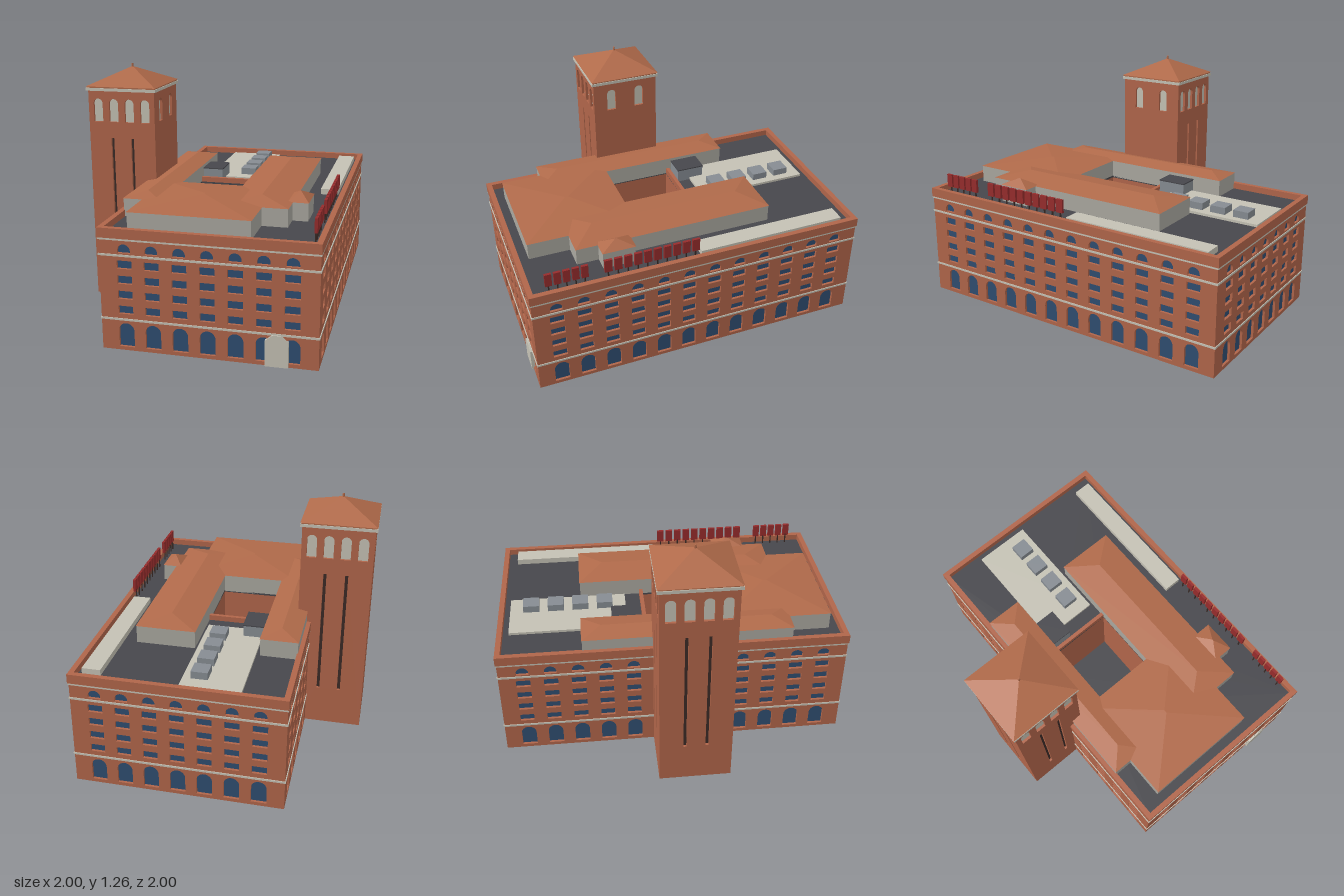
import * as THREE from 'three';

const mat = (color) => new THREE.MeshStandardMaterial({ color, flatShading: true });
const BRICK = mat(0xb0654a), TILE = mat(0xb06a4a), STONE = mat(0xc4c1b4), DECK = mat(0x47474c);
const GLASS = mat(0x2f4d70), GREY = mat(0xa9a79f), UNIT = mat(0x868c92), RED = mat(0x962c2c), DARK = mat(0x3a2a26);

const HX = 0.886, HZ = 0.519;   // half sizes of the main block
const DECK_Y = 0.572, TOP = 0.605, RECESS = 0.014;
const COURT = [-0.245, 0.12, -0.315, 0.015];   // x0, x1, z0, z1

function add(parent, name, geo, material, x = 0, y = 0, z = 0) {
  const m = new THREE.Mesh(geo, material);
  m.name = name;
  m.position.set(x, y, z);
  parent.add(m);
  return m;
}

// box given by its limits
function block(parent, name, material, x0, x1, y0, y1, z0, z1) {
  return add(parent, name, new THREE.BoxGeometry(x1 - x0, y1 - y0, z1 - z0), material,
    (x0 + x1) / 2, (y0 + y1) / 2, (z0 + z1) / 2);
}

const rect = (C, x0, x1, y0, y1) => {
  const p = new C();
  p.moveTo(x0, y0); p.lineTo(x1, y0); p.lineTo(x1, y1); p.lineTo(x0, y1); p.closePath();
  return p;
};

const arch = (x, w, y0, y1) => {
  const p = new THREE.Path(), r = w / 2;
  p.moveTo(x - r, y0); p.lineTo(x + r, y0); p.lineTo(x + r, y1 - r);
  p.absarc(x, y1 - r, r, 0, Math.PI, false);
  p.closePath();
  return p;
};

// horizontal slab with a rectangular opening
function ring(parent, name, material, outer, inner, y0, y1) {
  const flip = ([x0, x1, z0, z1]) => [x0, x1, -z1, -z0];
  const s = rect(THREE.Shape, ...flip(outer));
  s.holes.push(rect(THREE.Path, ...flip(inner)));
  const g = new THREE.ExtrudeGeometry(s, { depth: y1 - y0, bevelEnabled: false });
  g.rotateX(-Math.PI / 2);
  return add(parent, name, g, material, 0, y0, 0);
}

const frame = (parent, name, material, hx, hz, t, y0, y1) =>
  ring(parent, name, material, [-hx, hx, -hz, hz], [-hx + t, hx - t, -hz + t, hz - t], y0, y1);

// wall with pierced openings; panes are [material, y0, y1] sheets set behind it
function wall(parent, name, width, height, holes, panes, dist, angle) {
  const g = new THREE.Group();
  g.name = name;
  g.rotation.y = angle;
  const s = rect(THREE.Shape, -width / 2, width / 2, 0, height);
  s.holes.push(...holes);
  const geo = new THREE.ExtrudeGeometry(s, { depth: RECESS, bevelEnabled: false, curveSegments: 8 });
  add(g, 'brickFace', geo, BRICK, 0, 0, dist - RECESS);
  for (const [m, y0, y1] of panes)
    add(g, 'panes', new THREE.PlaneGeometry(width - 0.03, y1 - y0), m, 0, (y0 + y1) / 2, dist - RECESS + 0.001);
  parent.add(g);
}

// hipped roof over a rectangle, ridge along x
function hip(parent, name, x0, x1, z0, z1, y0, y1, inset) {
  const zc = (z0 + z1) / 2;
  const A = [x0, y0, z1], B = [x1, y0, z1], C = [x1, y0, z0], D = [x0, y0, z0];
  const P = [x0 + inset, y1, zc], Q = [x1 - inset, y1, zc];
  const tris = [A, B, Q, A, Q, P, B, C, Q, C, D, P, C, P, Q, D, A, P, A, D, C, A, C, B];
  const g = new THREE.BufferGeometry();
  g.setAttribute('position', new THREE.Float32BufferAttribute(tris.flat(), 3));
  g.computeVertexNormals();
  add(parent, name, g, TILE);
}

// one bay of windows for each column
function bays(count, step) {
  const holes = [];
  for (let i = 0; i < count; i++) {
    const x = (i - (count - 1) / 2) * step;
    holes.push(arch(x, 0.076, 0.018, 0.138));
    for (let k = 0; k < 4; k++) holes.push(rect(THREE.Path, x - 0.036, x + 0.036, 0.185 + k * 0.075, 0.225 + k * 0.075));
    holes.push(arch(x, 0.062, 0.487, 0.53));
  }
  return holes;
}

function mainBlock(b) {
  const c = HX - RECESS, d = HZ - RECESS;
  ring(b, 'blockCore', BRICK, [-c, c, -d, d], COURT, 0, DECK_Y - 0.01);
  ring(b, 'roofDeck', DECK, [-c, c, -d, d], COURT, DECK_Y - 0.01, DECK_Y);
  block(b, 'courtyardFloor', DECK, COURT[0], COURT[1], 0.11, 0.15, COURT[2], COURT[3]);
  for (let i = 0; i < 4; i++) {
    const long = i % 2 === 0;
    wall(b, long ? 'longWall' : 'endWall', 2 * (long ? HX : HZ), 0.58,
      long ? bays(12, 0.139) : bays(7, 0.132), [[GLASS, 0.01, 0.55]], long ? HZ : HX, i * Math.PI / 2);
  }
  // string courses and parapet
  for (const [y, h] of [[0.152, 0.01], [0.47, 0.01], [0.548, 0.009]])
    frame(b, 'stringCourse', STONE, HX + 0.004, HZ + 0.004, 0.012, y, y + h);
  frame(b, 'parapet', BRICK, HX + 0.005, HZ + 0.005, 0.027, 0.557, TOP);
  // entrance surround with a pointed top on the end wall
  const s = new THREE.Shape();
  s.moveTo(-0.055, 0); s.lineTo(0.055, 0); s.lineTo(0.055, 0.125);
  s.lineTo(0.02, 0.155); s.lineTo(-0.02, 0.155); s.lineTo(-0.055, 0.125);
  const door = add(b, 'entrance', new THREE.ExtrudeGeometry(s, { depth: 0.02, bevelEnabled: false }), STONE, -HX + 0.01, 0, 0.325);
  door.rotation.y = -Math.PI / 2;
}

function roofscape(b) {
  // penthouse wings: x0, x1, z0, z1, ridge height, hip inset
  const wings = [
    ['frontWing', -0.6, 0.46, 0.015, 0.318, 0.692, 0.13],
    ['backWing', -0.6, 0.46, -0.502, -0.315, 0.685, 0.1],
    ['endWing', -0.815, -0.245, -0.403, 0.19, 0.694, 0.28],
    ['dormer', -0.485, -0.315, 0.295, 0.396, 0.702, 0.085],
  ];
  for (const [name, x0, x1, z0, z1, top, inset] of wings) {
    block(b, name + 'Walls', GREY, x0, x1, DECK_Y - 0.005, 0.664, z0, z1);
    hip(b, name + 'Roof', x0 - 0.003, x1 + 0.003, z0 - 0.003, z1 + 0.003, 0.664, top, inset);
  }
  // plant area
  block(b, 'courtyardParapet', BRICK, 0.12, 0.14, DECK_Y - 0.01, 0.6, -0.315, 0.015);
  block(b, 'plantPad', STONE, 0.22, 0.834, DECK_Y - 0.005, 0.585, -0.297, 0);
  for (let i = 0; i < 4; i++) {
    const x = 0.332 + i * 0.13;
    block(b, 'plantUnit', UNIT, x - 0.042, x + 0.042, 0.58, 0.622, -0.123, -0.04);
  }
  block(b, 'stairHouse', UNIT, 0.15, 0.3, DECK_Y - 0.005, 0.642, -0.31, -0.2);
  block(b, 'stairHouseRoof', DECK, 0.148, 0.302, 0.642, 0.648, -0.312, -0.198);
  block(b, 'skylight', STONE, 0.01, 0.815, DECK_Y - 0.005, 0.602, 0.385, 0.478);
  // two rows of plain red roof panels on thin posts
  for (const [start, end, n] of [[-0.806, -0.58, 5], [-0.51, 0, 10]]) {
    const step = (end - start) / n;
    for (let i = 0; i < n; i++) {
      const x = start + (i + 0.5) * step;
      block(b, 'roofPanel', RED, x - step * 0.38, x + step * 0.38, 0.622, 0.692, 0.474, 0.488);
      block(b, 'panelPost', DARK, x - 0.003, x + 0.003, DECK_Y, 0.63, 0.474, 0.48);
    }
  }
}

function tower(b) {
  const t = new THREE.Group();
  t.name = 'tower';
  t.position.set(-0.071, 0, -0.636);
  b.add(t);
  const h = 0.1815, H = 1.135, c = h - RECESS;
  block(t, 'towerCore', BRICK, -c, c, 0, H, -c, c);
  for (let i = 0; i < 4; i++) {
    const inner = i === 0;   // side over the main roof has two openings and no slits
    const xs = inner ? [-0.08, 0.08] : [-0.129, -0.043, 0.043, 0.129];
    const holes = xs.map((x) => arch(x, 0.05, 0.97, 1.092));
    const panes = [[STONE, 0.96, 1.1]];
    if (!inner) {
      for (const x of [-0.055, 0.055]) holes.push(rect(THREE.Path, x - 0.008, x + 0.008, 0.21, 0.885));
      panes.push([DARK, 0.2, 0.9]);
    }
    wall(t, 'towerWall', 2 * h, H, holes, panes, h, i * Math.PI / 2);
  }
  const e = 0.191;
  block(t, 'towerCornice', STONE, -e, e, 1.133, 1.148, -e, e);
  block(t, 'towerEaves', TILE, -e + 0.004, e - 0.004, 1.148, 1.156, -e + 0.004, e - 0.004);
  hip(t, 'towerRoof', -e, e, -e, e, 1.155, 1.245, e);
  add(t, 'finial', new THREE.CylinderGeometry(0.005, 0.007, 0.03, 8), TILE, 0, 1.245, 0);
}

export function createModel() {
  const model = new THREE.Group();
  model.name = 'brickBuilding';
  const b = new THREE.Group();
  b.name = 'building';
  b.rotation.y = Math.PI / 4;
  model.add(b);
  mainBlock(b);
  roofscape(b);
  tower(b);
  return model;
}
